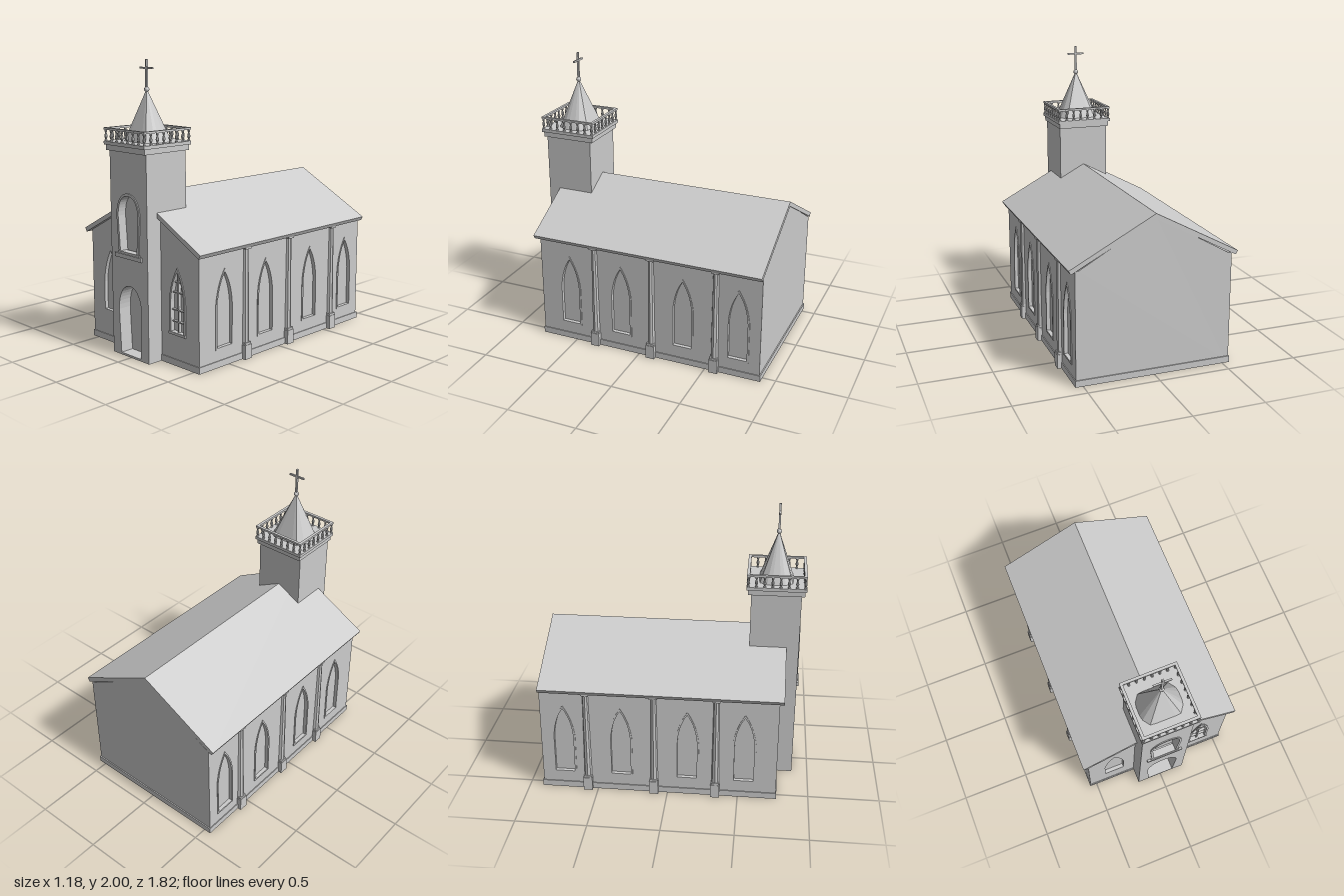
import * as THREE from 'three';
import { ConvexGeometry } from 'three/addons/geometries/ConvexGeometry.js';

const material = new THREE.MeshStandardMaterial({ color: 0xcccccc, flatShading: true });

function add(parent, name, geometry, x = 0, y = 0, z = 0) {
  const mesh = new THREE.Mesh(geometry, material);
  mesh.name = name;
  mesh.position.set(x, y, z);
  parent.add(mesh);
  return mesh;
}

// Box given by its lower and upper corners
function box(parent, name, x0, x1, y0, y1, z0, z1) {
  return add(parent, name, new THREE.BoxGeometry(x1 - x0, y1 - y0, z1 - z0),
    (x0 + x1) / 2, (y0 + y1) / 2, (z0 + z1) / 2);
}

const extrude = (shape, depth) =>
  new THREE.ExtrudeGeometry(shape, { depth, bevelEnabled: false, curveSegments: 10 });

function polygon(points) {
  return new THREE.Shape(points.map(([x, y]) => new THREE.Vector2(x, y)));
}

// Pointed arch outline, shrunk by t
function lancet(cx, halfWidth, y0, spring, top, t = 0) {
  const w = halfWidth - t, s = new THREE.Shape();
  s.moveTo(cx - w, y0 + t);
  s.lineTo(cx + w, y0 + t);
  s.lineTo(cx + w, spring);
  s.quadraticCurveTo(cx + w * 0.85, (spring + top) / 2 + 0.015, cx, top - t * 1.8);
  s.quadraticCurveTo(cx - w * 0.85, (spring + top) / 2 + 0.015, cx - w, spring);
  s.closePath();
  return s;
}

// Round arch that narrows toward its foot, shrunk by t
function roundArch(foot, halfWidth, y0, spring, top, t = 0) {
  const f = foot - t, w = halfWidth - t, s = new THREE.Shape();
  s.moveTo(-f, y0);
  s.lineTo(f, y0);
  s.lineTo(w, spring);
  s.bezierCurveTo(w, spring + (top - spring) * 0.6, w * 0.6, top - t, 0, top - t);
  s.bezierCurveTo(-w * 0.6, top - t, -w, spring + (top - spring) * 0.6, -w, spring);
  s.closePath();
  return s;
}

function ring(outer, inner, depth) {
  outer.holes.push(inner);
  return extrude(outer, depth);
}

function buildNave(root) {
  const nave = new THREE.Group();
  nave.name = 'nave';
  root.add(nave);
  box(nave, 'plinth', -0.553, 0.553, 0, 0.045, -0.905, 0.775);
  const gable = w => polygon([[-w, 0.02], [w, 0.02], [w, 0.79], [0, 1.09], [-w, 0.79]]);
  add(nave, 'hallCore', extrude(gable(0.525), 1.64), 0, 0, -0.9 + 0.003);

  // Front wall with two window openings
  const front = gable(0.547);
  for (const s of [-1, 1]) front.holes.push(lancet(s * 0.345, 0.074, 0.23, 0.43, 0.67));
  add(nave, 'frontWall', extrude(front, 0.03), 0, 0, 0.74);

  // Roof shell
  const roof = polygon([[0, 1.115], [-0.59, 0.8], [-0.575, 0.773], [0, 1.08], [0.575, 0.773], [0.59, 0.8]]);
  add(nave, 'roof', extrude(roof, 1.7), 0, 0, -0.9);

  // Glazed front window
  add(nave, 'frontWindowFrame', ring(lancet(0.345, 0.078, 0.215, 0.43, 0.67),
    lancet(0.345, 0.078, 0.215, 0.43, 0.67, 0.016), 0.035), 0, 0, 0.741);
  box(nave, 'frontWindowSill', 0.265, 0.425, 0.213, 0.23, 0.76, 0.78);
  box(nave, 'frontWindowMullion', 0.34, 0.35, 0.23, 0.645, 0.74, 0.765);
  for (const [y, w] of [[0.3, 0.063], [0.38, 0.063], [0.5, 0.052], [0.57, 0.034]])
    box(nave, 'frontWindowBar', 0.345 - w, 0.345 + w, y - 0.004, y + 0.004, 0.74, 0.762);

  for (const s of [-1, 1]) buildSide(nave, s);
}

// Long wall with lancet windows and attached columns; s is +1 or -1 in x
function buildSide(nave, s) {
  const side = new THREE.Group();
  side.name = s > 0 ? 'leftSide' : 'rightSide';
  side.rotation.y = s * Math.PI / 2;
  nave.add(side);
  const ends = [-0.897, 0.765].map(z => -s * z).sort((a, b) => a - b);
  const wall = polygon([[ends[0], 0.02], [ends[1], 0.02], [ends[1], 0.79], [ends[0], 0.79]]);
  for (const z of [0.54, 0.14, -0.33, -0.735]) {
    const arch = t => lancet(-s * z, 0.082, 0.122, 0.42, 0.665, t);
    wall.holes.push(arch(0.006));
    add(side, 'windowFrame', ring(arch(0), arch(0.013), 0.027), 0, 0, 0.525);
  }
  add(side, 'sideWall', extrude(wall, 0.023), 0, 0, 0.524);

  for (const z of [0.34, -0.095, -0.57]) {
    const x = -s * z;
    box(side, 'columnBase', x - 0.032, x + 0.032, 0, 0.1, 0.53, 0.58);
    box(side, 'columnBaseTrim', x - 0.028, x + 0.028, 0.1, 0.115, 0.53, 0.576);
    add(side, 'columnShaft', new THREE.CylinderGeometry(0.02, 0.027, 0.65, 8), x, 0.44, 0.547);
    box(side, 'columnCapital', x - 0.027, x + 0.027, 0.762, 0.782, 0.53, 0.574);
  }
}

function buildTower(root) {
  const tower = new THREE.Group();
  tower.name = 'tower';
  root.add(tower);
  const cz = 0.712;
  box(tower, 'towerShaft', -0.185, 0.185, 0, 1.41, 0.54, 0.79);

  // Front face with doorway and window niche
  const face = polygon([[-0.185, 0], [0.185, 0], [0.185, 1.41], [-0.185, 1.41]]);
  face.holes.push(roundArch(0.1, 0.116, 0.015, 0.32, 0.5), roundArch(0.098, 0.116, 0.72, 0.97, 1.13));
  add(tower, 'towerFront', extrude(face, 0.096), 0, 0, 0.789);
  add(tower, 'towerWindowPanel', extrude(roundArch(0.098, 0.116, 0.72, 0.97, 1.13), 0.04), 0, 0, 0.789);
  add(tower, 'towerWindowFrame', ring(roundArch(0.1, 0.118, 0.72, 0.97, 1.132),
    roundArch(0.1, 0.118, 0.721, 0.97, 1.132, 0.018), 0.068), 0, 0, 0.824);
  box(tower, 'towerWindowSill', -0.135, 0.135, 0.69, 0.718, 0.87, 0.9);
  box(tower, 'towerWindowSillTrim', -0.11, 0.11, 0.715, 0.733, 0.84, 0.893);

  // Cornice
  const slab = (name, r, y0, y1) => box(tower, name, -r, r, y0, y1, cz - r, cz + r);
  slab('corniceLower', 0.194, 1.405, 1.442);
  slab('corniceUpper', 0.205, 1.442, 1.465);

  // Balustrade on four sides
  const profile = [[0.009, 0], [0.009, 0.008], [0.005, 0.014], [0.011, 0.03], [0.009, 0.042],
    [0.005, 0.055], [0.009, 0.068], [0.009, 0.078]].map(([r, y]) => new THREE.Vector2(r, y));
  const baluster = new THREE.LatheGeometry(profile, 8);
  for (let k = 0; k < 4; k++) {
    const run = new THREE.Group();
    run.name = 'balustrade';
    run.position.set(0, 1.465, cz);
    run.rotation.y = k * Math.PI / 2;
    tower.add(run);
    box(run, 'handrail', -0.204, 0.184, 0.076, 0.09, 0.184, 0.204);
    for (let i = 0; i < 7; i++) add(run, 'baluster', baluster, -0.194 + i * 0.388 / 7, 0, 0.194);
  }

  // Faceted spire with a longer side across the front
  const points = [new THREE.Vector3(0, 1.81, cz)];
  for (const sx of [-1, 1]) for (const sz of [-1, 1]) {
    points.push(new THREE.Vector3(sx * 0.152, 1.46, cz - 0.004 + sz * 0.03));
    points.push(new THREE.Vector3(sx * 0.145, 1.46, cz - 0.004 + sz * 0.065));
    points.push(new THREE.Vector3(sx * 0.11, 1.46, cz - 0.004 + sz * 0.114));
    points.push(new THREE.Vector3(sx * 0.07, 1.46, cz - 0.004 + sz * 0.118));
  }
  add(tower, 'spire', new ConvexGeometry(points));
  add(tower, 'spireBall', new THREE.SphereGeometry(0.018, 12, 8), 0, 1.805, cz);
  box(tower, 'crossPost', -0.007, 0.007, 1.81, 2, cz - 0.007, cz + 0.007);
  box(tower, 'crossArm', -0.062, 0.062, 1.938, 1.95, cz - 0.006, cz + 0.006);
}

export function createModel() {
  const root = new THREE.Group();
  root.name = 'chapel';
  buildNave(root);
  buildTower(root);
  return root;
}
